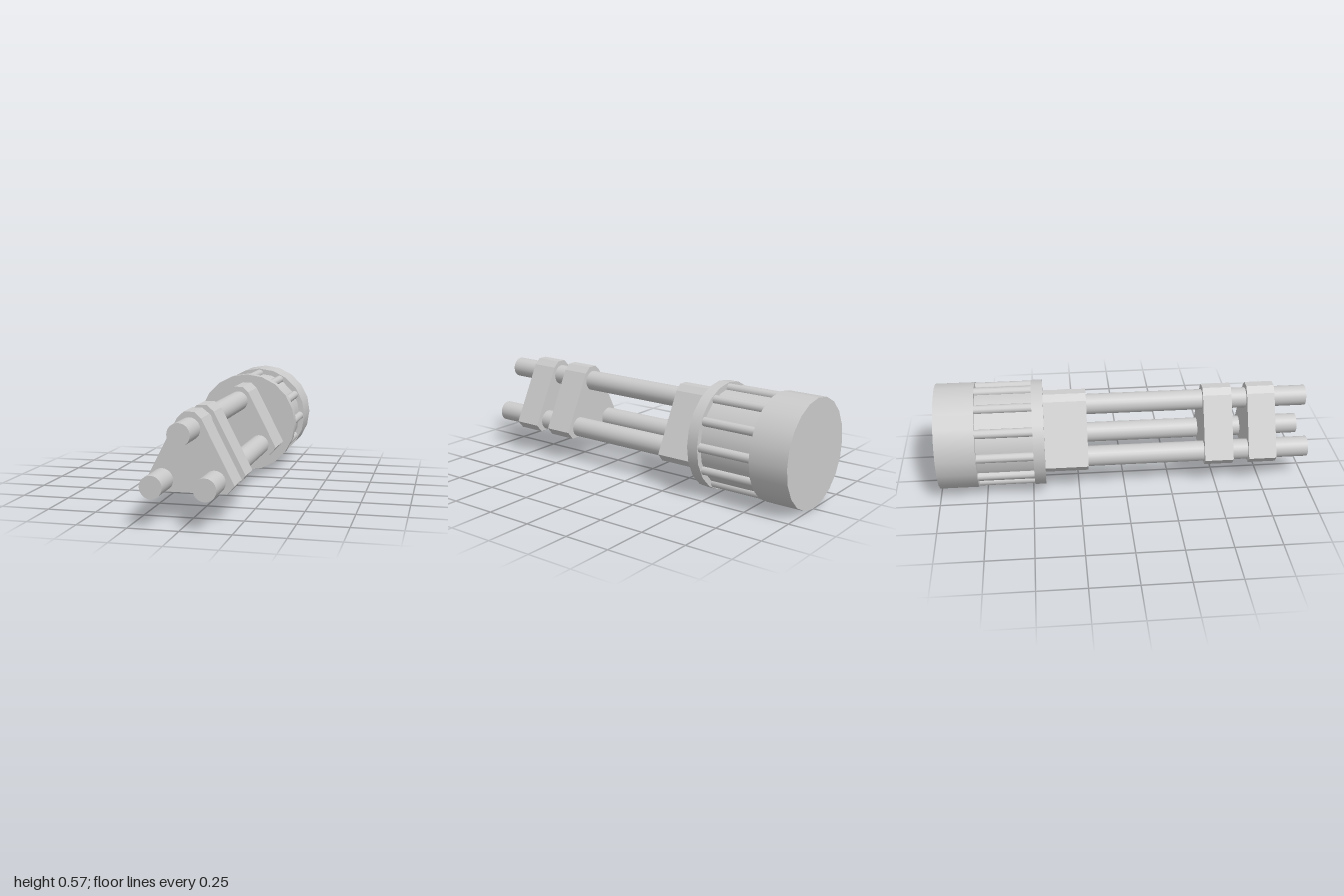
import * as THREE from 'three';

const material = new THREE.MeshStandardMaterial({ color: 0xcccccc });
const AXIS_Y = 0.286;

export function createModel() {
  const model = new THREE.Group();

  const add = (name, geometry) => {
    const mesh = new THREE.Mesh(geometry, material);
    mesh.name = name;
    model.add(mesh);
    return mesh;
  };

  // Cylinder along z between two depths, with a corner pointing up
  const rod = (name, x, y, radius, zFront, zBack, sides) => {
    const geometry = new THREE.CylinderGeometry(radius, radius, zFront - zBack, sides);
    geometry.rotateX(Math.PI / 2);
    if (sides % 4 !== 0) geometry.rotateZ(Math.PI / sides);
    add(name, geometry).position.set(x, y, (zFront + zBack) / 2);
  };

  // Rear housing: front flange, recessed core and solid drum
  rod('frontFlange', 0, AXIS_Y, 0.286, -0.43, -0.49, 20);
  rod('housingCore', 0, AXIS_Y, 0.255, -0.48, -0.8, 20);
  rod('rearDrum', 0, AXIS_Y, 0.286, -0.79, -1, 20);

  // Round ribs around the core
  for (let i = 0; i < 12; i++) {
    const a = (i / 12) * Math.PI * 2;
    rod('housingRib', Math.sin(a) * 0.256, AXIS_Y + Math.cos(a) * 0.256, 0.024, -0.48, -0.8, 12);
  }

  // Three long barrels
  for (const [x, y] of [[0, 0.444], [-0.134, 0.197], [0.122, 0.197]]) {
    rod('barrel', x, y, 0.055, 1, -0.44, 24);
  }

  // Triangular clamps with cut corners
  const half = [[0.183, 0.14], [0.219, 0.182], [0.058, 0.495], [0.025, 0.525]];
  const outline = [...half, ...half.map(([x, y]) => [-x, y]).reverse()];
  const shape = new THREE.Shape(outline.map(([x, y]) => new THREE.Vector2(x, y)));
  const clamps = [
    ['frontClamp', 0.82, 0.67],
    ['middleClamp', 0.585, 0.43],
    ['rearClamp', -0.2, -0.44],
  ];
  for (const [name, zFront, zBack] of clamps) {
    const geometry = new THREE.ExtrudeGeometry(shape, { depth: zFront - zBack, bevelEnabled: false });
    add(name, geometry).position.z = zBack;
  }

  return model;
}
